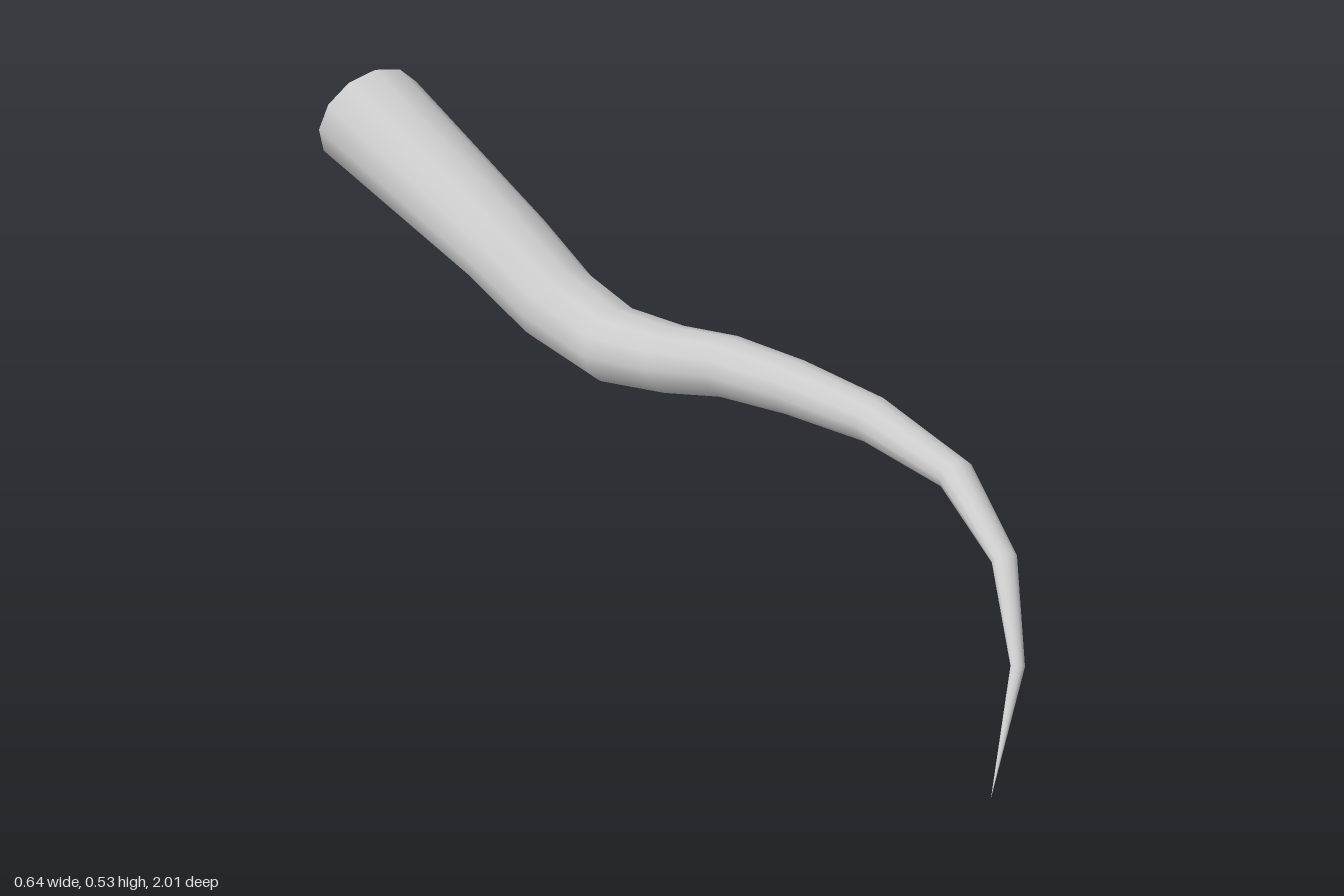
import * as THREE from 'three';

// Centre line from tip to open root: x, y, z, half width, half height
const RINGS = [
  [-0.325, 0, 1, 0, 0],
  [-0.215, 0.166, 0.957, 0.011, 0.009],
  [-0.127, 0.277, 0.859, 0.021, 0.017],
  [-0.048, 0.333, 0.702, 0.031, 0.028],
  [0.004, 0.336, 0.492, 0.041, 0.039],
  [0.031, 0.318, 0.3, 0.05, 0.048],
  [0.053, 0.291, 0.13, 0.058, 0.055],
  [0.073, 0.246, -0.02, 0.067, 0.062],
  [0.093, 0.2125, -0.185, 0.077, 0.0725],
  [0.109, 0.2375, -0.35, 0.084, 0.08],
  [0.128, 0.2975, -0.505, 0.092, 0.086],
  [0.2, 0.4225, -0.973, 0.121, 0.111],
];
const SIDES = 12;

export function createModel() {
  const centres = RINGS.map(([x, y, z]) => new THREE.Vector3(x, y, z));
  const worldUp = new THREE.Vector3(0, 1, 0);
  const positions = [];
  const index = [];

  // Elliptical cross-sections, each square to the bend of the centre line
  RINGS.forEach(([, , , width, height], i) => {
    const before = centres[Math.max(i - 1, 0)];
    const after = centres[Math.min(i + 1, RINGS.length - 1)];
    const dirIn = centres[i].clone().sub(before).normalize();
    const dirOut = after.clone().sub(centres[i]).normalize();
    const tangent = dirIn.add(dirOut).normalize();
    const side = tangent.clone().cross(worldUp).normalize();
    const up = side.clone().cross(tangent);
    for (let j = 0; j < SIDES; j++) {
      const angle = (j / SIDES) * Math.PI * 2;
      const p = centres[i].clone()
        .addScaledVector(side, Math.cos(angle) * width)
        .addScaledVector(up, Math.sin(angle) * height);
      positions.push(p.x, p.y, p.z);
    }
  });

  // Skin between neighbouring rings; the first band is a fan from the tip
  for (let i = 0; i < RINGS.length - 1; i++) {
    for (let j = 0; j < SIDES; j++) {
      const k = (j + 1) % SIDES;
      const a = i * SIDES + j, b = i * SIDES + k;
      const c = a + SIDES, d = b + SIDES;
      if (i > 0) index.push(a, b, c);
      index.push(b, d, c);
    }
  }

  const geometry = new THREE.BufferGeometry();
  geometry.setAttribute('position', new THREE.Float32BufferAttribute(positions, 3));
  geometry.setIndex(index);
  geometry.computeVertexNormals();

  const horn = new THREE.Mesh(
    geometry,
    new THREE.MeshStandardMaterial({ color: 0xcccccc, side: THREE.DoubleSide }),
  );
  horn.name = 'curvedHorn';

  const group = new THREE.Group();
  group.name = 'horn';
  group.add(horn);
  return group;
}
